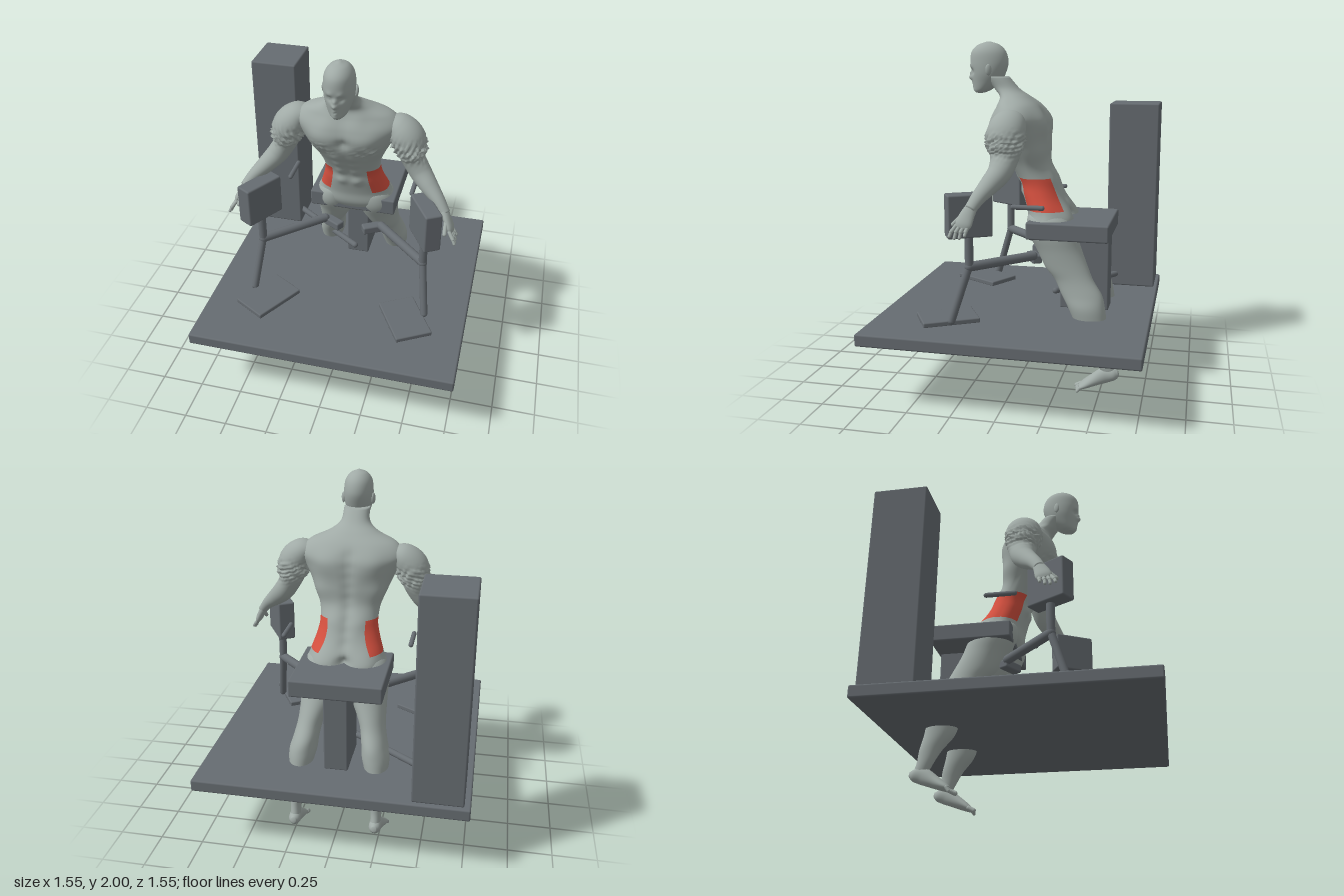
import * as THREE from 'three';
import { RoundedBoxGeometry } from 'three/addons/geometries/RoundedBoxGeometry.js';

const mat = (name, color) => {
  const m = new THREE.MeshStandardMaterial({ color });
  m.name = name;
  return m;
};

// Smooth loft through sections [x, y, z, sideRadius, depthRadius].
// flat keeps the rings level; otherwise they follow the path with ref as depth hint.
function loft(sections, { rings = 32, segs = 32, flat = false, ref = [0, 0, 1], power = 2, bulge, pick } = {}) {
  const path = new THREE.CatmullRomCurve3(sections.map(s => new THREE.Vector3(s[0], s[1], s[2])), false, 'catmullrom');
  const radii = new THREE.CatmullRomCurve3(sections.map(s => new THREE.Vector3(s[3], s[4], 0)), false, 'catmullrom');
  const hint = new THREE.Vector3(...ref);
  const pos = [];
  const round = v => Math.sign(v) * Math.abs(v) ** (2 / power);
  for (let k = -1; k <= rings + 1; k++) {
    const t = THREE.MathUtils.clamp(k / rings, 0, 1);
    const cap = k < 0 || k > rings ? 0 : 1;
    const c = path.getPoint(t), r = radii.getPoint(t);
    const T = flat ? new THREE.Vector3(0, 1, 0) : path.getTangent(t);
    const side = T.clone().cross(hint).normalize();
    const depth = side.clone().cross(T);
    for (let j = 0; j < segs; j++) {
      const a = j / segs * Math.PI * 2;
      const d = side.clone().multiplyScalar(round(Math.cos(a)) * r.x * cap)
        .addScaledVector(depth, round(Math.sin(a)) * r.y * cap);
      const p = c.clone().add(d);
      if (bulge && cap) p.addScaledVector(d.normalize(), bulge(p, Math.sin(a)));
      pos.push(p.x, p.y, p.z);
    }
  }
  const lists = [[], []];
  for (let i = 0; i < rings + 2; i++) for (let j = 0; j < segs; j++) {
    const a = i * segs + j, b = i * segs + (j + 1) % segs, c = a + segs, d = b + segs;
    const which = pick && pick(pos[a * 3 + 1], Math.cos((j + 0.5) / segs * Math.PI * 2)) ? 1 : 0;
    lists[which].push(a, c, b, b, c, d);
  }
  const g = new THREE.BufferGeometry();
  g.setAttribute('position', new THREE.Float32BufferAttribute(pos, 3));
  g.setIndex([...lists[0], ...lists[1]]);
  if (pick) {
    g.addGroup(0, lists[0].length, 0);
    g.addGroup(lists[0].length, lists[1].length, 1);
  }
  g.computeVertexNormals();
  return g;
}

// Sum of soft mirrored bumps [x, y, front(+1)/back(-1), radius, height]
const bumps = list => (p, s) => list.reduce((h, [x, y, f, r, amt]) =>
  h + amt * Math.max(0, s * f) ** 0.5 * Math.exp(-((Math.abs(p.x) - x) ** 2 + (p.y - y) ** 2) / (r * r)), 0);

const ruffle = p => Math.sin(p.x * 151 + p.y * 83) * Math.sin(p.y * 167 + p.z * 97) * Math.cos(p.z * 139 + p.x * 61);

export function createModel() {
  const model = new THREE.Group();
  model.name = 'exerciseMachineWithFigure';
  const skin = mat('figure grey', 0xa0aaa6);
  const steel = mat('machine grey', 0x666c71);
  const red = mat('highlighted muscle red', 0xd5503f);

  const add = (parent, name, geo, material) => {
    const m = new THREE.Mesh(geo, material);
    m.name = name;
    parent.add(m);
    return m;
  };
  const box = (parent, name, size, at, turn = 0) => {
    const m = add(parent, name, new RoundedBoxGeometry(...size, 2, Math.min(0.01, Math.min(...size) / 4)), steel);
    m.position.set(...at);
    m.rotation.y = turn;
    return m;
  };
  const rod = (parent, name, from, to, r, material = steel) => {
    const a = new THREE.Vector3(...from), d = new THREE.Vector3(...to).sub(a);
    const m = add(parent, name, new THREE.CapsuleGeometry(r, d.length(), 4, 16), material);
    m.position.copy(a).addScaledVector(d, 0.5);
    m.quaternion.setFromUnitVectors(new THREE.Vector3(0, 1, 0), d.normalize());
    return m;
  };
  // Builds the +x side, then the -x side as its mirror
  const mirrored = (name, build) => {
    for (const [label, s] of [['left', 1], ['right', -1]]) {
      const g = new THREE.Group();
      g.name = label + name;
      g.scale.x = s;
      build(g);
      model.add(g);
    }
  };

  // Machine body
  box(model, 'basePlatform', [1.555, 0.07, 1.555], [0, 0.405, 0]);
  box(model, 'weightTower', [0.285, 1.185, 0.31], [-0.6, 1.032, -0.6]);
  box(model, 'seatPost', [0.14, 0.47, 0.29], [0, 0.67, -0.375]);
  box(model, 'seat', [0.525, 0.1, 0.475], [0, 0.94, -0.298]);
  rod(model, 'towerLinkBar', [-0.47, 0.515, -0.51], [-0.01, 0.515, -0.19], 0.019);

  // Side stands with pads
  mirrored('Stand', g => {
    const turn = Math.PI / 6;
    box(g, 'footPlate', [0.22, 0.03, 0.325], [0.425, 0.452, 0.355], turn);
    box(g, 'pad', [0.1, 0.24, 0.25], [0.49, 1.07, 0.205], turn);
    rod(g, 'padStem', [0.49, 0.96, 0.205], [0.49, 0.78, 0.205], 0.024);
    rod(g, 'standLeg', [0.49, 0.78, 0.205], [0.53, 0.47, 0.3], 0.022);
    rod(g, 'swingArm', [0.49, 0.777, 0.205], [0.18, 0.777, -0.09], 0.027);
    box(g, 'swingArmBracket', [0.13, 0.05, 0.06], [0.125, 0.755, -0.085], turn);
    rod(g, 'handle', [0.372, 1.1, -0.015], [0.372, 1.1, -0.18], 0.014);
  });

  // Torso with muscle relief and highlighted flanks
  const relief = [
    [0.12, 1.5, 1, 0.09, 0.028], [0, 1.48, 1, 0.03, -0.02], [0.12, 1.39, 1, 0.045, -0.012],
    [0.12, 1.54, -1, 0.08, 0.022], [0.11, 0.99, -1, 0.085, 0.045], [0, 1.0, -1, 0.03, -0.04],
    [0.07, 1.62, 1, 0.05, 0.01], [0.07, 1.22, -1, 0.06, 0.012], [0.17, 1.36, -1, 0.07, 0.02],
  ];
  for (const y of [1.14, 1.22, 1.29, 1.36]) relief.push([0.045, y, 1, 0.03, 0.012]);
  for (let y = 1.1; y < 1.6; y += 0.06) relief.push([0, y, -1, 0.035, -0.012]);
  const muscles = bumps(relief);
  const torso = loft([
    [0, 0.87, -0.18, 0.14, 0.09], [0, 0.95, -0.165, 0.235, 0.125], [0, 1.03, -0.15, 0.212, 0.122],
    [0, 1.12, -0.12, 0.183, 0.118], [0, 1.2, -0.092, 0.168, 0.108], [0, 1.3, -0.04, 0.18, 0.115],
    [0, 1.4, -0.002, 0.222, 0.148], [0, 1.5, 0.015, 0.272, 0.158], [0, 1.57, 0.02, 0.3, 0.148],
    [0, 1.635, 0.028, 0.25, 0.115], [0, 1.685, 0.055, 0.14, 0.085], [0, 1.73, 0.105, 0.084, 0.072],
    [0, 1.8, 0.165, 0.074, 0.07],
  ], {
    rings: 96, segs: 80, flat: true, power: 2.2,
    bulge: (p, s) => muscles(p, s) + 0.035 * ruffle(p) * Math.max(0, s) *
      Math.exp(-(((Math.abs(p.x) - 0.13) / 0.055) ** 2 + ((p.y - 1.43) / 0.035) ** 2)),
    pick: (y, c) => Math.abs(c) > 0.6 && y > 1.03 && y < 1.2 + 0.02 * Math.abs(c),
  });
  add(model, 'torso', torso, [skin, red]);

  // Head with brow, eye sockets, nose and lips
  add(model, 'head', loft([
    [0, 1.705, 0.265, 0.025, 0.022], [0, 1.725, 0.248, 0.048, 0.05], [0, 1.77, 0.225, 0.068, 0.083],
    [0, 1.82, 0.215, 0.082, 0.1], [0, 1.88, 0.212, 0.085, 0.113], [0, 1.94, 0.215, 0.077, 0.103],
    [0, 1.98, 0.215, 0.05, 0.066], [0, 2.0, 0.215, 0.008, 0.01],
  ], {
    rings: 64, segs: 64, flat: true, bulge: bumps([
      [0, 1.793, 1, 0.016, 0.026], [0, 1.82, 1, 0.013, 0.015], [0.033, 1.83, 1, 0.016, -0.014],
      [0.033, 1.83, 1, 0.008, 0.007], [0.03, 1.857, 1, 0.016, 0.006], [0, 1.762, 1, 0.015, 0.01],
      [0, 1.752, 1, 0.006, -0.007], [0, 1.745, 1, 0.014, 0.007], [0, 1.72, 1, 0.02, 0.012],
    ]),
  }), skin);

  mirrored('Limbs', g => {
    const ear = add(g, 'ear', new THREE.SphereGeometry(1, 16, 12), skin);
    ear.scale.set(0.01, 0.032, 0.018);
    ear.position.set(0.088, 1.84, 0.195);
    ear.rotation.y = 0.4;

    // Arm, ragged around the upper-arm muscle
    add(g, 'arm', loft([
      [0.23, 1.58, 0.02, 0.04, 0.06], [0.29, 1.555, 0.022, 0.08, 0.095], [0.34, 1.5, 0.03, 0.096, 0.108],
      [0.362, 1.43, 0.03, 0.086, 0.1], [0.378, 1.37, 0.03, 0.066, 0.08], [0.422, 1.3, 0.045, 0.062, 0.068],
      [0.48, 1.24, 0.085, 0.052, 0.056], [0.545, 1.18, 0.13, 0.037, 0.042], [0.595, 1.12, 0.165, 0.027, 0.032],
    ], {
      rings: 72, segs: 48,
      bulge: p => 0.022 * ruffle(p) * Math.exp(-(((p.y - 1.45) / 0.05) ** 2)),
    }), skin);

    // Hand
    add(g, 'palm', loft([
      [0.58, 1.14, 0.155, 0.027, 0.032], [0.61, 1.09, 0.177, 0.022, 0.042],
      [0.63, 1.05, 0.19, 0.02, 0.046], [0.64, 1.025, 0.197, 0.012, 0.036],
    ], { rings: 16, segs: 20 }), skin);
    for (let i = 0; i < 4; i++) {
      const z = 0.165 + i * 0.022, long = [0, 0.014, 0.016, 0.008][i];
      rod(g, 'finger', [0.632, 1.04, z], [0.655, 1.01, z + 0.008 + i * 0.004], 0.011, skin);
      rod(g, 'fingertip', [0.655, 1.01, z + 0.008 + i * 0.004], [0.666, 0.995 - long, z + 0.01 + i * 0.006], 0.009, skin);
    }
    rod(g, 'thumb', [0.605, 1.09, 0.205], [0.607, 1.04, 0.255], 0.012, skin);

    // Leg
    add(g, 'leg', loft([
      [0.236, 0.11, -0.555, 0.028, 0.04], [0.237, 0.18, -0.525, 0.032, 0.047], [0.232, 0.25, -0.5, 0.042, 0.064],
      [0.226, 0.33, -0.458, 0.057, 0.086], [0.222, 0.42, -0.435, 0.069, 0.095], [0.213, 0.5, -0.41, 0.08, 0.108],
      [0.2, 0.57, -0.38, 0.074, 0.118], [0.183, 0.65, -0.333, 0.074, 0.112], [0.165, 0.72, -0.285, 0.088, 0.126],
      [0.14, 0.82, -0.235, 0.113, 0.132], [0.135, 0.92, -0.19, 0.122, 0.14], [0.122, 1.0, -0.168, 0.105, 0.122],
      [0.1, 1.05, -0.155, 0.07, 0.08],
    ], { rings: 64, segs: 40, flat: true }), skin);

    // Foot and toes
    add(g, 'foot', loft([
      [0.237, 0.118, -0.608, 0.014, 0.016], [0.237, 0.112, -0.58, 0.033, 0.036], [0.238, 0.103, -0.53, 0.036, 0.046],
      [0.241, 0.072, -0.47, 0.042, 0.036], [0.246, 0.042, -0.415, 0.048, 0.024], [0.247, 0.025, -0.385, 0.046, 0.015],
    ], { rings: 32, segs: 28, ref: [0, 1, 0] }), skin);
    for (let i = 0; i < 5; i++) {
      const x = 0.208 + i * 0.0195, r = i ? 0.0095 : 0.013;
      rod(g, 'toe', [x, 0.028, -0.39], [x, r, -0.36 - i * 0.004], r, skin);
    }
  });

  return model;
}
